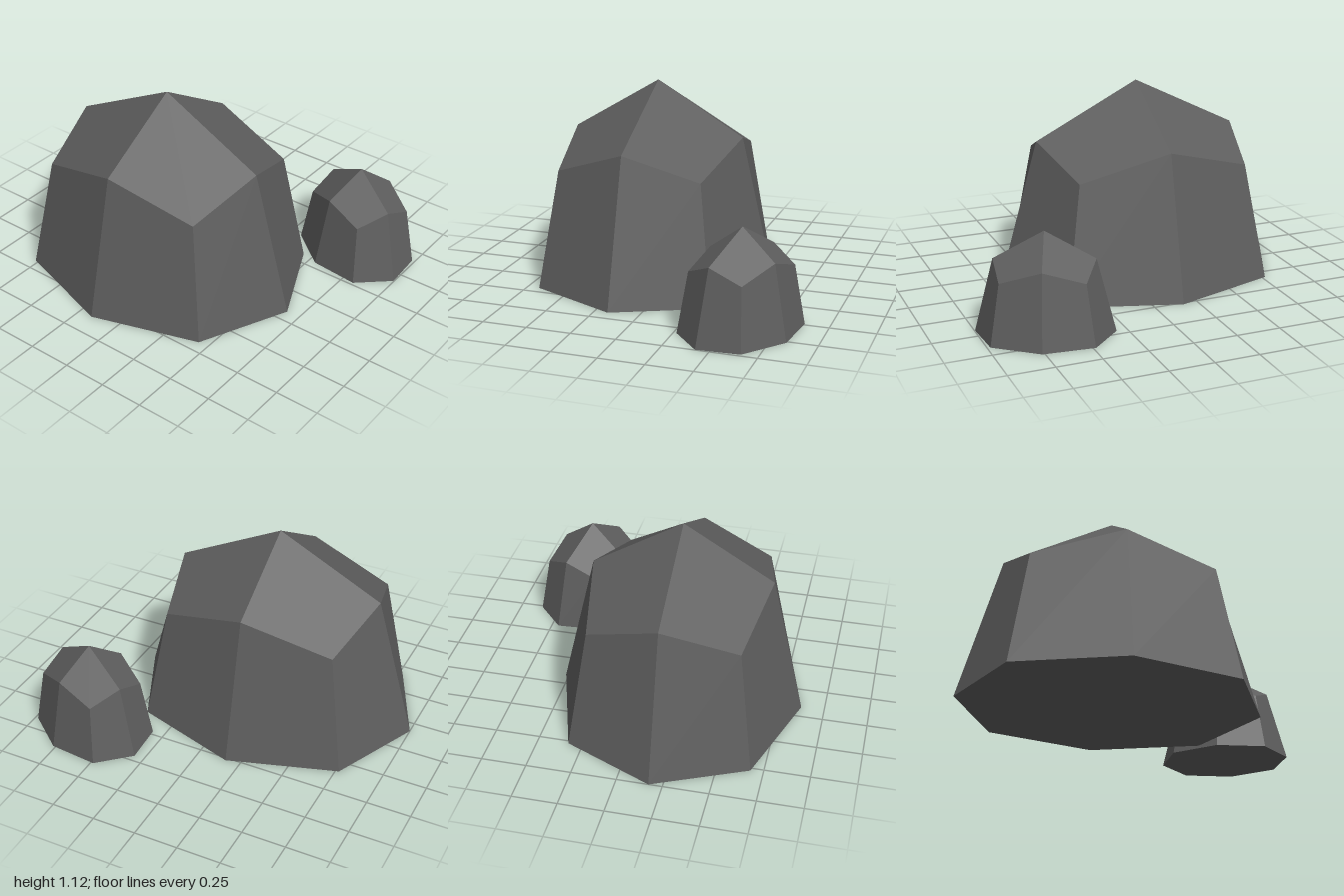
import * as THREE from 'three';

// Faceted boulder: octagonal base, slightly drooping shoulder ring, pointed top
function boulderGeometry() {
  const base = [], shoulder = [];
  for (let i = 0; i < 8; i++) {
    const a = i * Math.PI / 4, c = Math.round(Math.cos(a)), s = Math.round(Math.sin(a));
    const corner = i % 2 === 1;
    base.push(new THREE.Vector3(c * (corner ? 0.505 : 0.695), 0, s * (corner ? 0.605 : 0.835)));
    shoulder.push(new THREE.Vector3(c * (corner ? 0.415 : 0.505), corner ? 0.667 : 0.812, s * (corner ? 0.5 : 0.605)));
  }
  const apex = new THREE.Vector3(0, 1.115, 0);
  const centre = new THREE.Vector3();
  const positions = [], normals = [];

  // One flat normal for each four-cornered facet
  const quad = (a, b, c, d) => {
    const n = c.clone().sub(a).cross(d.clone().sub(b)).normalize();
    for (const p of [a, b, c, a, c, d]) {
      positions.push(...p.toArray());
      normals.push(...n.toArray());
    }
  };

  for (let i = 0; i < 8; i++) {
    const j = (i + 1) % 8;
    quad(base[j], base[i], shoulder[i], shoulder[j]); // wall
    if (i % 2 === 0) {
      const k = (i + 2) % 8;
      quad(apex, shoulder[k], shoulder[j], shoulder[i]); // cap
      quad(centre, base[i], base[j], base[k]); // underside
    }
  }
  const geometry = new THREE.BufferGeometry();
  geometry.setAttribute('position', new THREE.Float32BufferAttribute(positions, 3));
  geometry.setAttribute('normal', new THREE.Float32BufferAttribute(normals, 3));
  return geometry;
}

export function createModel() {
  const group = new THREE.Group();
  group.name = 'rocks';
  const stone = new THREE.MeshStandardMaterial({ color: 0x5e5e5e });
  stone.name = 'dark stone';
  const geometry = boulderGeometry();

  const large = new THREE.Mesh(geometry, stone);
  large.name = 'largeRock';
  large.position.set(-0.175, 0, -0.165);

  // Smaller copy, turned and set beside the large rock
  const small = new THREE.Mesh(geometry, stone);
  small.name = 'smallRock';
  small.position.set(0.567, 0, 0.653);
  small.rotation.y = -Math.PI / 8;
  small.scale.set(0.42, 0.5, 0.445);

  group.add(large, small);
  return group;
}
